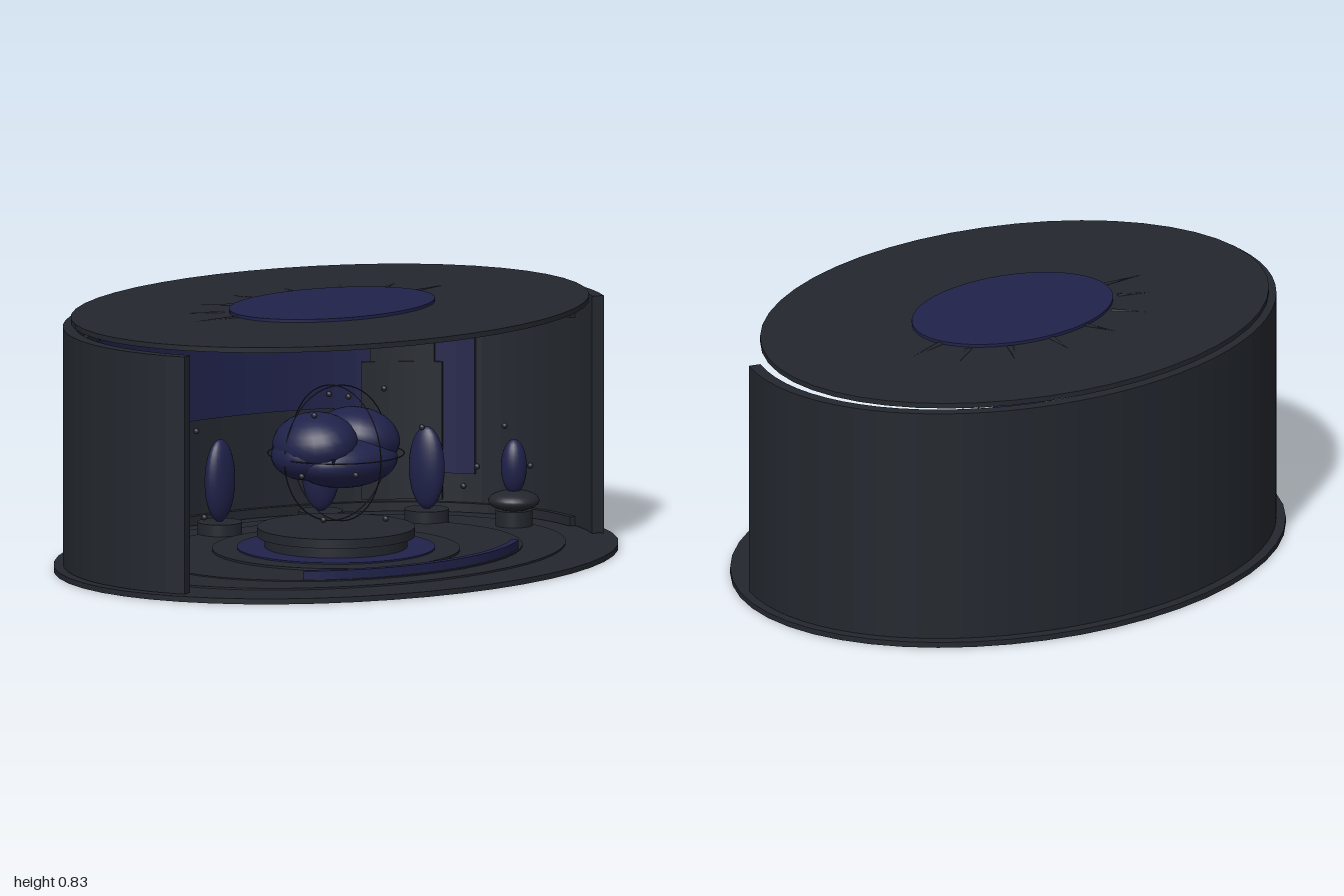
import * as THREE from 'three';

const dark = new THREE.MeshStandardMaterial({ color: 0x23272e });
const blue = new THREE.MeshStandardMaterial({ color: 0x20224a });
const rad = THREE.MathUtils.degToRad;

export function createModel() {
  const model = new THREE.Group();

  const add = (name, geometry, material, x = 0, y = 0, z = 0) => {
    const mesh = new THREE.Mesh(geometry, material);
    mesh.name = name;
    mesh.position.set(x, y, z);
    model.add(mesh);
    return mesh;
  };

  // Elliptical slab between two heights
  const slab = (name, rx, rz, y0, y1, material, x = 0, z = 0) => {
    const mesh = add(name, new THREE.CylinderGeometry(1, 1, y1 - y0, 48), material, x, (y0 + y1) / 2, z);
    mesh.scale.set(rx, 1, rz);
    return mesh;
  };

  // Upright elliptical band; angles run from +x over the back (-z) to -x
  const band = (name, rx, rz, thickness, from, to, y0, y1, material) => {
    const points = [];
    const steps = Math.max(6, Math.round((to - from) / 5));
    const edge = (inset, t) => {
      const a = rad(from + (to - from) * t);
      points.push(new THREE.Vector2((rx - inset) * Math.cos(a), (rz - inset) * Math.sin(a)));
    };
    for (let i = 0; i <= steps; i++) edge(0, i / steps);
    for (let i = steps; i >= 0; i--) edge(thickness, i / steps);
    const geometry = new THREE.ExtrudeGeometry(new THREE.Shape(points), { depth: y1 - y0, bevelEnabled: false });
    geometry.rotateX(-Math.PI / 2);
    return add(name, geometry, material, 0, y0, 0);
  };

  const ellipsoid = (name, rx, ry, rz, x, y, z, material = blue) => {
    const mesh = add(name, new THREE.SphereGeometry(1, 24, 16), material, x, y, z);
    mesh.scale.set(rx, ry, rz);
    return mesh;
  };

  // Room shell
  slab('floor', 1, 0.777, 0, 0.018, dark);
  band('wall', 0.97, 0.745, 0.04, -22.5, 202.5, 0.02, 0.795, dark);
  slab('ceiling', 0.925, 0.7, 0.805, 0.822, dark, 0, -0.03);
  slab('skylight', 0.375, 0.265, 0.822, 0.832, blue, 0, -0.02);

  // Tapered rays around the back of the skylight
  [[0.37, -0.06, 0.53, -0.085], [0.34, -0.16, 0.445, -0.22], [0.23, -0.24, 0.3, -0.33], [0.08, -0.28, 0.11, -0.385]]
    .forEach(([x0, z0, x1, z1]) => {
      for (const side of [-1, 1]) {
        const from = new THREE.Vector3(side * x0, 0, z0);
        const to = new THREE.Vector3(side * x1, 0, z1);
        const length = from.distanceTo(to);
        const geometry = new THREE.ConeGeometry(0.012, length, 6);
        geometry.applyQuaternion(new THREE.Quaternion().setFromUnitVectors(
          new THREE.Vector3(0, 1, 0), to.clone().sub(from).normalize()));
        const ray = add('skylightRay', geometry, dark, (side * (x0 + x1)) / 2, 0.822, (z0 + z1) / 2);
        ray.scale.y = 0.4;
      }
    });

  // Wall lining: cornice, skirting, rear window and side panels
  band('cornice', 0.93, 0.705, 0.02, -10, 190, 0.7, 0.73, dark);
  band('skirting', 0.93, 0.705, 0.02, -10, 190, 0.02, 0.05, dark);
  band('rearWindow', 0.928, 0.703, 0.012, 57, 123, 0.36, 0.69, blue);
  for (const mirror of [false, true]) {
    const sideBand = (name, inset, a, b, y0, y1, material) =>
      band(name, 0.928 - inset, 0.703 - inset, 0.012, mirror ? 180 - b : a, mirror ? 180 - a : b, y0, y1, material);
    sideBand('sidePanel', 0, 24, 57, 0.145, 0.695, blue);
    sideBand('upperScreen', 0.01, 34, 49, 0.51, 0.655, dark);
    sideBand('door', 0.014, 32, 51, 0.06, 0.51, dark);
  }

  // Layered floor rings and the curved front bench
  slab('rug', 0.82, 0.62, 0.018, 0.024, dark);
  slab('innerRug', 0.65, 0.53, 0.024, 0.028, dark);
  slab('plinthStep', 0.4, 0.4, 0.024, 0.035, dark);
  slab('glowDisc', 0.32, 0.32, 0.035, 0.04, blue);
  band('frontBench', 0.65, 0.52, 0.025, 225, 315, 0.022, 0.057, blue);

  // Central pedestal
  slab('pedestalFoot', 0.23, 0.23, 0.04, 0.075, dark);
  slab('pedestalTop', 0.255, 0.255, 0.075, 0.105, dark);

  // Lobed core floating inside three thin rings
  for (const side of [-1, 1]) {
    const lobe = ellipsoid('upperLobe', 0.13, 0.1, 0.15, side * 0.09, 0.385, 0);
    lobe.rotation.z = side * -0.2;
    ellipsoid('sideLobe', 0.1, 0.075, 0.12, side * 0.125, 0.345, -0.01);
  }
  ellipsoid('lowerLobe', 0.19, 0.085, 0.13, 0, 0.325, 0.05);
  const ring = new THREE.TorusGeometry(0.22, 0.002, 6, 48);
  add('frontRing', ring, dark, 0, 0.345, 0);
  add('sideRing', ring, dark, 0, 0.345, 0).rotation.y = Math.PI / 2;
  add('levelRing', ring, dark, 0, 0.345, 0).rotation.x = Math.PI / 2;

  // Five upright pods on an arc, each broad side facing the centre
  for (let i = 0; i < 5; i++) {
    const a = rad(163 - 33.5 * i);
    const x = 0.68 * Math.cos(a);
    const z = -0.49 * Math.sin(a);
    slab('podBase', 0.072, 0.072, 0.024, 0.066, dark, x, z);
    ellipsoid('pod', 0.062, 0.135, 0.038, x, 0.2, z).rotation.y = Math.atan2(x, z);
  }

  // A smaller pod in a dish at each side
  for (const side of [-1, 1]) {
    slab('dishBase', 0.06, 0.06, 0.024, 0.075, dark, side * 0.76, 0);
    ellipsoid('dish', 0.083, 0.034, 0.083, side * 0.76, 0.105, 0, dark);
    ellipsoid('dishPod', 0.042, 0.09, 0.042, side * 0.76, 0.215, 0);
  }

  // Small motes drifting through the room
  const mote = new THREE.SphereGeometry(0.01, 8, 6);
  [
    [-0.18, 0.5, 0.1], [-0.03, 0.54, 0], [0.14, 0.5, -0.1], [0.38, 0.487, -0.2], [0.345, 0.45, 0.43],
    [0.28, 0.41, 0.1], [-0.33, 0.37, 0.475], [-0.15, 0.2, 0.415], [-0.65, 0.22, 0.1], [-0.355, 0.21, 0.345],
    [0.69, 0.21, -0.1], [0.83, 0.21, 0], [-0.4, 0.35, 0.29], [0.2, 0.265, 0.395], [-0.51, 0.46, -0.1],
  ].forEach(([x, y, z]) => add('mote', mote, dark, x, y, z));
  add('shard', new THREE.ConeGeometry(0.012, 0.022, 4), blue, -0.46, 0.43, 0.515).rotation.x = Math.PI;

  return model;
}
